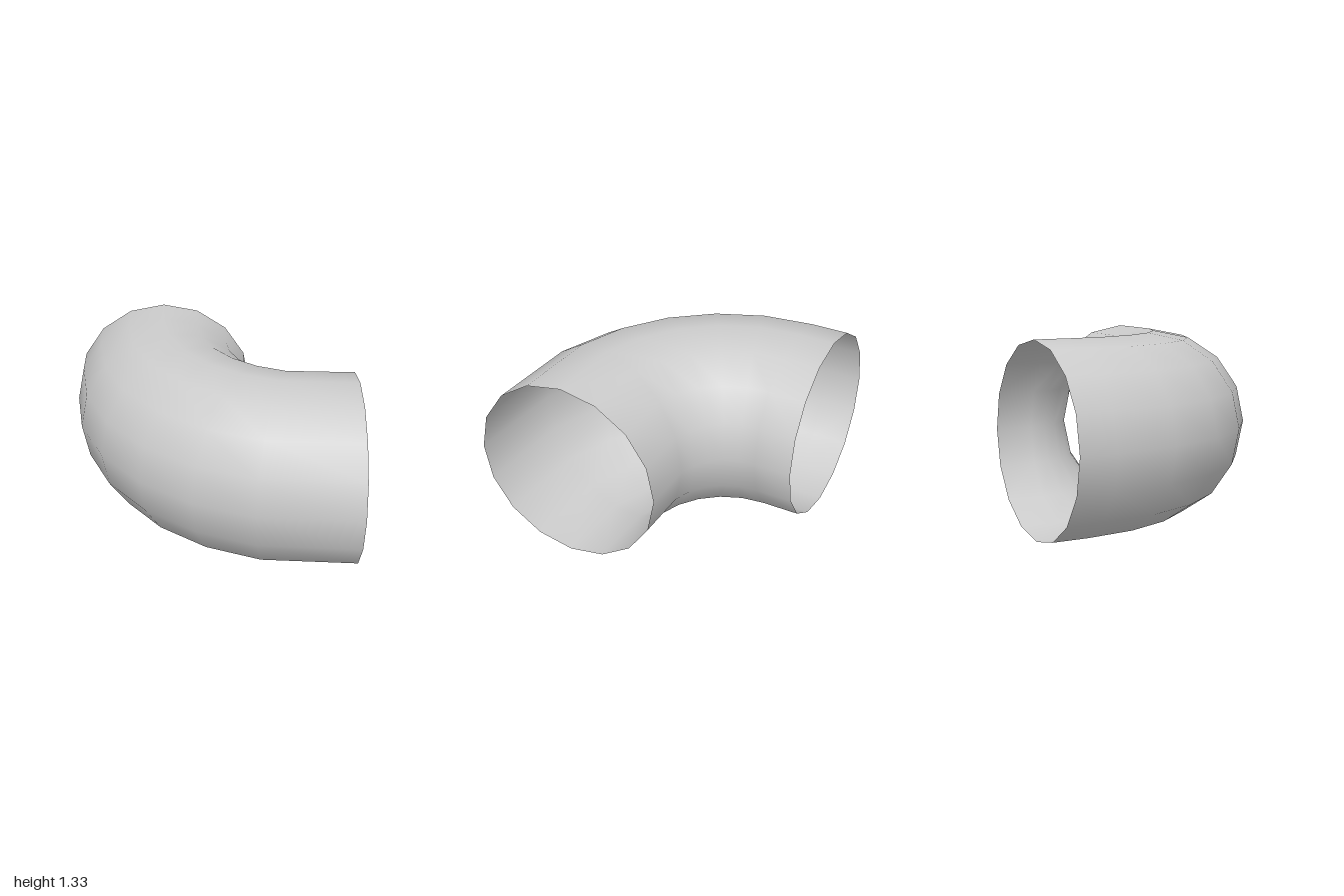
import * as THREE from 'three';

const SIDES = 16;
const RADIUS = 2 / 3;   // pipe radius
const PIVOT = 0.74;     // bend centre at (PIVOT, -PIVOT) in x, z
const BEND = PIVOT + 1 / 3; // radius of the centre line

// One ring of the pipe at bend angle t, pushed along the pipe by `shift`
function ring(t, shift = 0) {
  const out = new THREE.Vector3(-Math.cos(t), 0, Math.sin(t));
  const along = new THREE.Vector3(Math.sin(t), 0, Math.cos(t));
  const centre = new THREE.Vector3(PIVOT, RADIUS, -PIVOT)
    .addScaledVector(out, BEND)
    .addScaledVector(along, shift);
  return Array.from({ length: SIDES }, (_, j) => {
    const a = (j / SIDES) * Math.PI * 2;
    const p = centre.clone().addScaledVector(out, RADIUS * Math.cos(a));
    p.y += RADIUS * Math.sin(a);
    return p;
  });
}

// Closed-round, open-ended skin through a list of rings
function skin(rings) {
  const index = [];
  for (let i = 0; i < rings.length - 1; i++) {
    for (let j = 0; j < SIDES; j++) {
      const k = (j + 1) % SIDES;
      const a = i * SIDES + j, b = i * SIDES + k;
      const c = a + SIDES, d = b + SIDES;
      index.push(a, c, b, b, c, d);
    }
  }
  const geometry = new THREE.BufferGeometry().setFromPoints(rings.flat());
  geometry.setIndex(index);
  geometry.computeVertexNormals();
  return geometry;
}

export function createModel() {
  const group = new THREE.Group();
  group.name = 'pipeElbow';

  // Straight inlet, bend in 15 degree steps, then a straight run to the outlet
  const rings = [ring(0, PIVOT - 1)];
  for (let i = 0; i <= 5; i++) rings.push(ring(THREE.MathUtils.degToRad(15 * i)));
  rings.push(ring(Math.PI / 2, 1 - PIVOT));

  const pipe = new THREE.Mesh(
    skin(rings),
    new THREE.MeshStandardMaterial({ color: 0xcccccc, side: THREE.DoubleSide })
  );
  pipe.name = 'bentPipe';
  group.add(pipe);
  return group;
}
